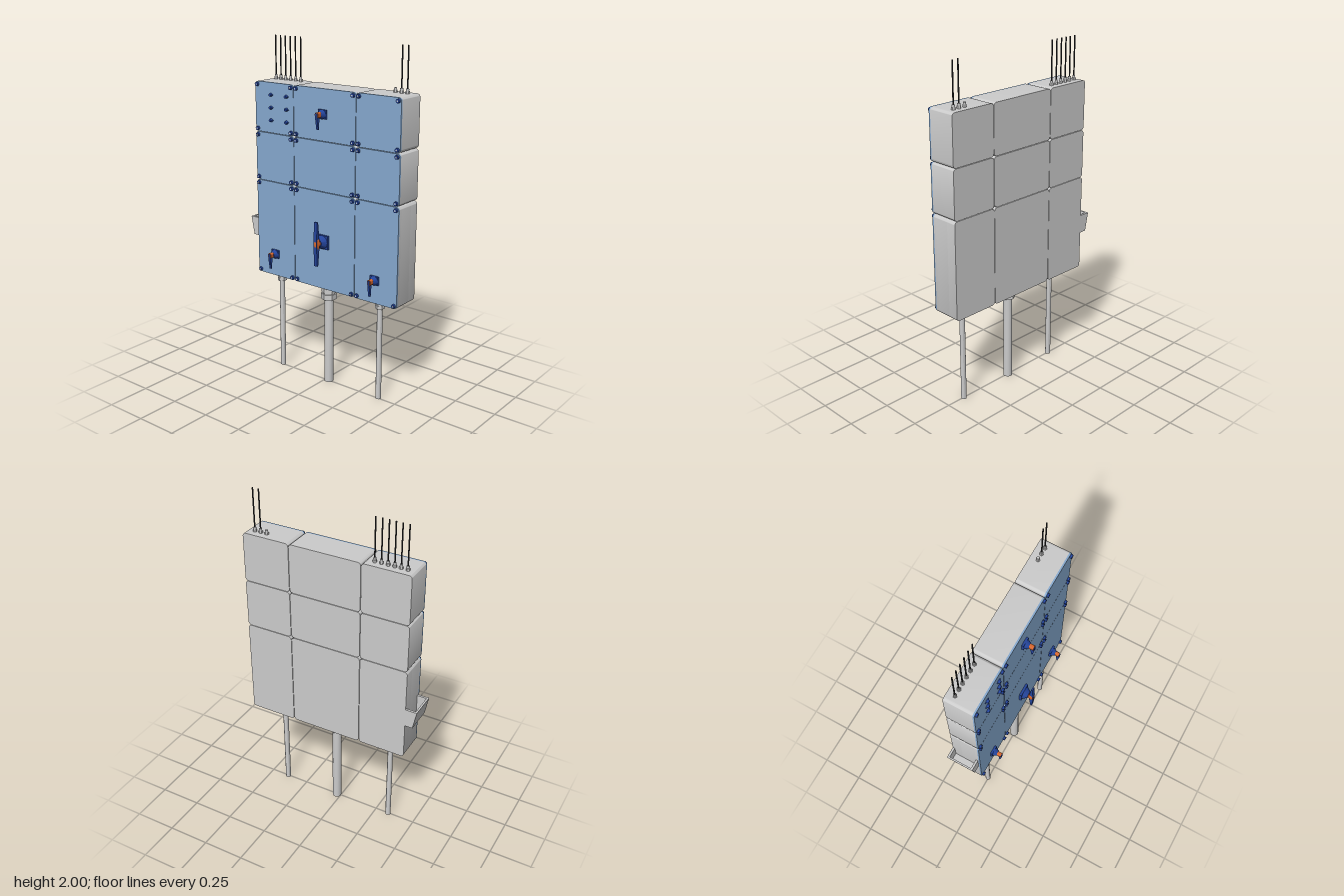
import * as THREE from 'three';
import { toCreasedNormals } from 'three/addons/utils/BufferGeometryUtils.js';

const material = (color) => new THREE.MeshStandardMaterial({ color });
const BACK = -0.125, LID = 0.04, FRONT = 0.05;

// Rounded rectangle outline, optionally with a notch cut into its lower edge
function panelShape(x0, x1, y0, y1, r, notch) {
  const s = new THREE.Shape();
  s.moveTo(x0 + r, y0);
  if (notch) {
    s.lineTo(notch[0], y0).lineTo(notch[0], y0 + 0.02);
    s.lineTo(notch[1], y0 + 0.02).lineTo(notch[1], y0);
  }
  s.lineTo(x1 - r, y0).absarc(x1 - r, y0 + r, r, -Math.PI / 2, 0);
  s.lineTo(x1, y1 - r).absarc(x1 - r, y1 - r, r, 0, Math.PI / 2);
  s.lineTo(x0 + r, y1).absarc(x0 + r, y1 - r, r, Math.PI / 2, Math.PI);
  s.lineTo(x0, y0 + r).absarc(x0 + r, y0 + r, r, Math.PI, Math.PI * 1.5);
  return s;
}

// Extrude a front outline between two depths
function slab(shape, z0, z1) {
  const g = new THREE.ExtrudeGeometry(shape, { depth: z1 - z0, bevelEnabled: false, curveSegments: 5 });
  return toCreasedNormals(g.translate(0, 0, z0), 0.6);
}

export function createModel() {
  const model = new THREE.Group();
  const grey = material(0xcccccc), blue = material(0x86a9cf), navy = material(0x24449a);
  const orange = material(0xd9682f), black = material(0x2a2a2a);

  const add = (parent, name, geometry, mat, x = 0, y = 0, z = 0) => {
    const m = new THREE.Mesh(geometry, mat);
    m.name = name;
    m.position.set(x, y, z);
    parent.add(m);
    return m;
  };
  const group = (name, x = 0, y = 0, z = 0) => {
    const g = new THREE.Group();
    g.name = name;
    g.position.set(x, y, z);
    model.add(g);
    return g;
  };
  // Upright cylinder given by its bottom and top heights
  const post = (parent, name, r, y0, y1, sides, mat, x, z) =>
    add(parent, name, toCreasedNormals(new THREE.CylinderGeometry(r, r, y1 - y0, sides), 0.6), mat, x, (y0 + y1) / 2, z);
  // Cylinder or cone facing the front
  const stud = (r0, r1, z0, z1, sides) => toCreasedNormals(
    new THREE.CylinderGeometry(r1, r0, z1 - z0, sides).rotateX(Math.PI / 2).translate(0, 0, (z0 + z1) / 2), 0.6);

  // Nine enclosures with blue lids and corner screws
  const columns = [[-0.47, -0.187], [-0.184, 0.244], [0.247, 0.53]];
  const rows = [[0.6, 1.173], [1.176, 1.459], [1.462, 1.75]];
  const screw = stud(0.012, 0.011, FRONT, 0.062, 12);
  for (const [x0, x1] of columns) {
    rows.forEach(([y0, y1], row) => {
      const box = group('enclosure');
      const solid = panelShape(x0, x1, y0, y1, 0.018);
      if (row === 0) {
        // Recessed cable opening in the underside
        const notch = [x0 + 0.04, x1 - 0.04];
        add(box, 'backShell', slab(solid, BACK, -0.065), grey);
        add(box, 'middleShell', slab(panelShape(x0, x1, y0, y1, 0.018, notch), -0.065, 0.025), grey);
        add(box, 'frontShell', slab(solid, 0.025, LID), grey);
        add(box, 'cablePlate', new THREE.BoxGeometry(notch[1] - notch[0] - 0.02, 0.006, 0.075),
          blue, (x0 + x1) / 2, y0 + 0.017, -0.02);
      } else {
        add(box, 'shell', slab(solid, BACK, LID), grey);
      }
      add(box, 'lid', slab(solid, LID, FRONT), blue);
      for (const x of [x0 + 0.017, x1 - 0.017])
        for (const y of [y0 + 0.017, y1 - 0.017]) {
          add(box, 'lidScrew', screw, navy, x, y);
          add(box, 'screwHead', stud(0.005, 0.005, 0.06, 0.063, 6), grey, x, y);
        }
    });
  }

  // Thin cables and their glands on top
  [-0.425, -0.388, -0.352, -0.315, -0.278, -0.24, 0.405, 0.443, 0.48].forEach((x) => {
    const cable = group('topCable');
    post(cable, 'topGlandNut', 0.011, 1.75, 1.764, 6, grey, x, -0.08);
    post(cable, 'topGlandCap', 0.008, 1.764, 1.776, 12, grey, x, -0.08);
    if (x !== 0.405) post(cable, 'thinCable', 0.004, 1.77, 2, 8, black, x, -0.08);
  });

  // Thick cables hanging below, each through a stepped gland
  for (const [x, r] of [[-0.333, 0.016], [0.025, 0.027], [0.385, 0.016]]) {
    const cable = group('bottomCable');
    const k = r / 0.027, z = -0.003;
    post(cable, 'thickCable', r, 0, 0.6, 12, grey, x, z);
    post(cable, 'glandThread', r * 1.2, 0.6 - 0.02 * k, 0.618, 16, grey, x, z);
    post(cable, 'glandUpperNut', r * 1.65, 0.6 - 0.034 * k, 0.6 - 0.008 * k, 6, grey, x, z);
    post(cable, 'glandNeck', r * 1.35, 0.6 - 0.045 * k, 0.6 - 0.03 * k, 16, grey, x, z);
    post(cable, 'glandLowerNut', r * 1.7, 0.6 - 0.075 * k, 0.6 - 0.042 * k, 6, grey, x, z);
  }

  // Small rotary switches with a lever pointing down
  for (const [x, y] of [[-0.333, 0.737], [0.385, 0.737], [0.025, 1.612]]) {
    const sw = group('smallSwitch', x, y);
    add(sw, 'switchPlate', new THREE.BoxGeometry(0.054, 0.05, 0.012), navy, 0, 0, 0.056);
    add(sw, 'switchCollar', stud(0.027, 0.014, 0.062, 0.085, 16), navy);
    add(sw, 'switchKnob', slab(panelShape(-0.012, 0.012, -0.015, 0.016, 0.01), 0.083, 0.108), orange);
    // Lever profile in the side plane, given depth then height
    const lever = new THREE.Shape([[0.088, 0.012], [0.112, 0.012], [0.112, -0.02], [0.102, -0.08], [0.096, -0.08], [0.09, -0.02]]
      .map(([z, h]) => new THREE.Vector2(-z, h)).reverse());
    const g = new THREE.ExtrudeGeometry(lever, { depth: 0.012, bevelEnabled: false });
    add(sw, 'switchLever', g.translate(0, 0, -0.006).rotateY(Math.PI / 2), navy);
  }

  // Main rotary switch with a double-ended handle
  const main = group('mainSwitch', 0.025, 0.885);
  add(main, 'mainPlate', new THREE.BoxGeometry(0.08, 0.08, 0.014), navy, 0, 0, 0.057);
  add(main, 'mainCollar', stud(0.04, 0.02, 0.064, 0.092, 20), navy);
  add(main, 'mainHub', stud(0.016, 0.016, 0.09, 0.112, 16), orange);
  const handle = new THREE.Shape([[0.1, 0.04], [0.11, 0.13], [0.118, 0.13], [0.124, 0.03],
    [0.124, -0.03], [0.118, -0.13], [0.11, -0.13], [0.1, -0.04]].map(([z, h]) => new THREE.Vector2(-z, h)));
  const handleGeometry = new THREE.ExtrudeGeometry(handle, { depth: 0.022, bevelEnabled: false });
  add(main, 'mainHandle', handleGeometry.translate(0, 0, -0.011).rotateY(Math.PI / 2), navy);
  const grip = add(main, 'mainGrip', new THREE.SphereGeometry(1, 20, 12), orange, 0, 0, 0.108);
  grip.scale.set(0.016, 0.042, 0.018);

  // Six small indicators on the upper enclosure
  for (const x of [-0.352, -0.237])
    for (const y of [1.68, 1.607, 1.535]) {
      const lamp = group('indicator', x, y);
      add(lamp, 'indicatorBody', stud(0.011, 0.008, FRONT, 0.064, 12), navy);
      add(lamp, 'indicatorWings', stud(0.018, 0.014, FRONT, 0.056, 4), navy).scale.y = 0.5;
    }

  // Open-topped document pocket on the side
  const pocket = group('sidePocket');
  const side = new THREE.Shape([[-0.47, 0.82], [-0.47, 0.93], [-0.537, 0.93], [-0.515, 0.82]]
    .map(([x, y]) => new THREE.Vector2(x, y)));
  const wall = new THREE.Shape([[-0.47, 0.82], [-0.47, 0.828], [-0.506, 0.828], [-0.526, 0.93], [-0.537, 0.93], [-0.515, 0.82]]
    .map(([x, y]) => new THREE.Vector2(x, y)));
  add(pocket, 'pocketBackSide', slab(side, BACK, -0.112), grey);
  add(pocket, 'pocketFrontSide', slab(side, 0.024, 0.037), grey);
  add(pocket, 'pocketWall', slab(wall, -0.112, 0.024), grey);

  return model;
}
